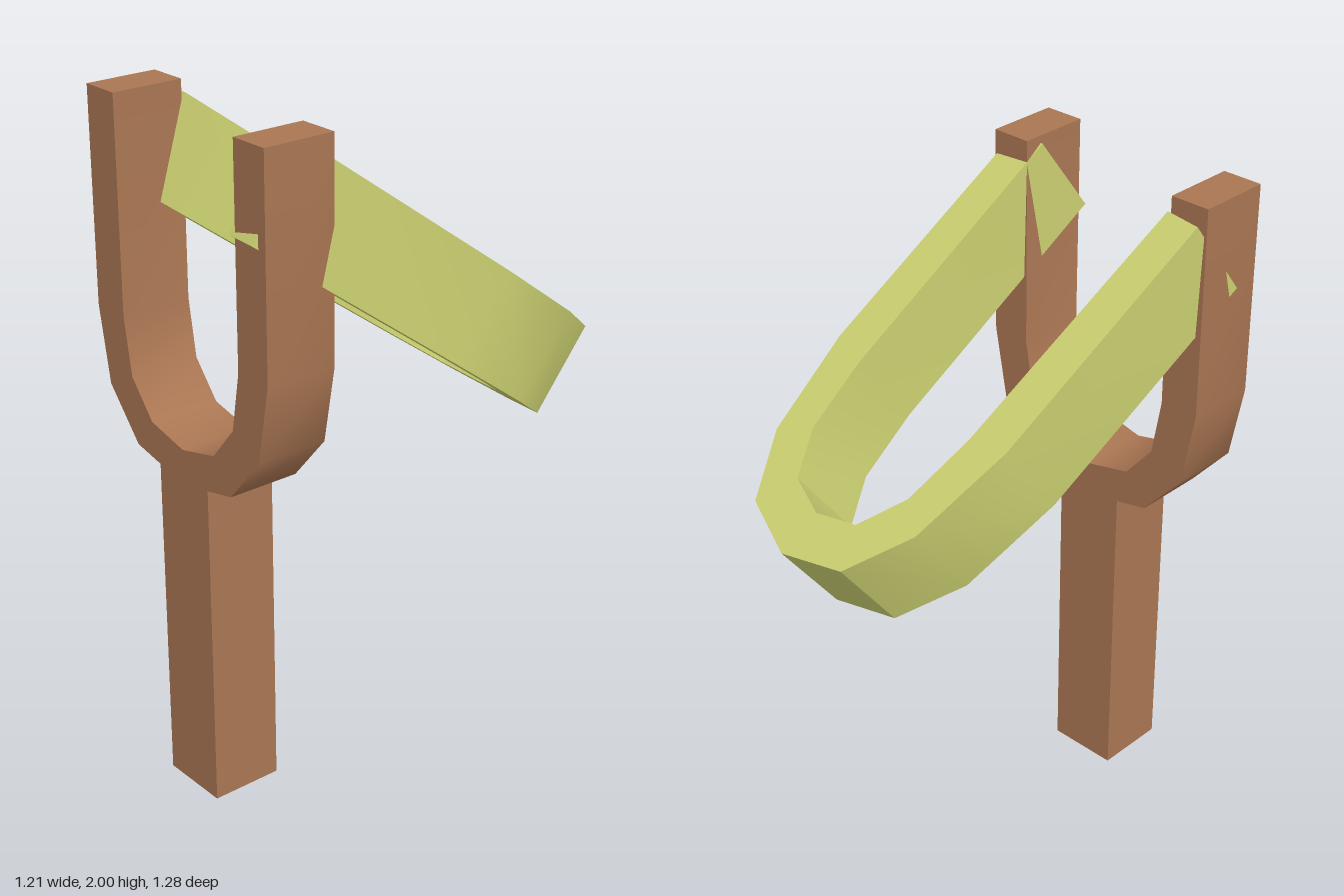
import * as THREE from 'three';
import { toCreasedNormals } from 'three/addons/utils/BufferGeometryUtils.js';

// Mirror half of a U outline, listed from the arm tip to just before the bottom centre
function fullU(half, bottomY) {
  const left = half.map(([x, y]) => [-x, y]);
  return [...left, [0, bottomY], ...half.slice().reverse()];
}

// Extruded U with separate outer and inner outlines
function uGeometry(outer, inner, depth) {
  const points = [...outer, ...inner.slice().reverse()].map(([x, y]) => new THREE.Vector2(x, y));
  const geometry = new THREE.ExtrudeGeometry(new THREE.Shape(points), { depth, bevelEnabled: false });
  return toCreasedNormals(geometry, 0.7);
}

export function createModel() {
  const model = new THREE.Group();
  model.name = 'slingshot';

  const wood = new THREE.MeshStandardMaterial({ color: 0xaa7653 });
  wood.name = 'brown wood';
  const elastic = new THREE.MeshStandardMaterial({ color: 0xcbd071 });
  elastic.name = 'yellow green elastic';

  // Wooden frame, turned about the vertical axis
  const frame = new THREE.Group();
  frame.name = 'frame';
  frame.position.set(-0.225, 0, 0.361);
  frame.rotation.y = -0.511;
  model.add(frame);

  const depth = 0.217;
  const forkOuter = fullU([[0.378, 0.62], [0.378, 0], [0.336, -0.225], [0.212, -0.368]], -0.413);
  const forkInner = fullU([[0.257, 0.62], [0.257, 0], [0.228, -0.17], [0.14, -0.275]], -0.308);
  const fork = new THREE.Mesh(uGeometry(forkOuter, forkInner, depth), wood);
  fork.name = 'fork';
  fork.position.set(0, 1.38, -depth / 2);
  frame.add(fork);

  const handle = new THREE.Mesh(new THREE.BoxGeometry(0.217, 0.99, depth), wood);
  handle.name = 'handle';
  handle.position.y = 0.495;
  frame.add(handle);

  // Elastic band: a longer U hanging down and back from the prongs
  const bandOuter = fullU([[0.368, 0.76], [0.368, 0], [0.317, -0.31], [0.2, -0.498]], -0.56);
  const bandInner = fullU([[0.255, 0.76], [0.243, -0.03], [0.215, -0.245], [0.135, -0.38]], -0.42);
  const band = new THREE.Mesh(uGeometry(bandOuter, bandInner, 0.285), elastic);
  band.name = 'elasticBand';

  // Axes: across the band, back up its arms, and down through its height
  const across = new THREE.Vector3(0.8, 0.034, 0.598).normalize();
  const up = new THREE.Vector3(-0.49, 0.59, 0.645);
  up.addScaledVector(across, -up.dot(across)).normalize();
  const down = new THREE.Vector3().crossVectors(across, up);
  band.quaternion.setFromRotationMatrix(new THREE.Matrix4().makeBasis(across, up, down));
  band.position.set(0.195, 1.522, -0.2);
  model.add(band);

  return model;
}
